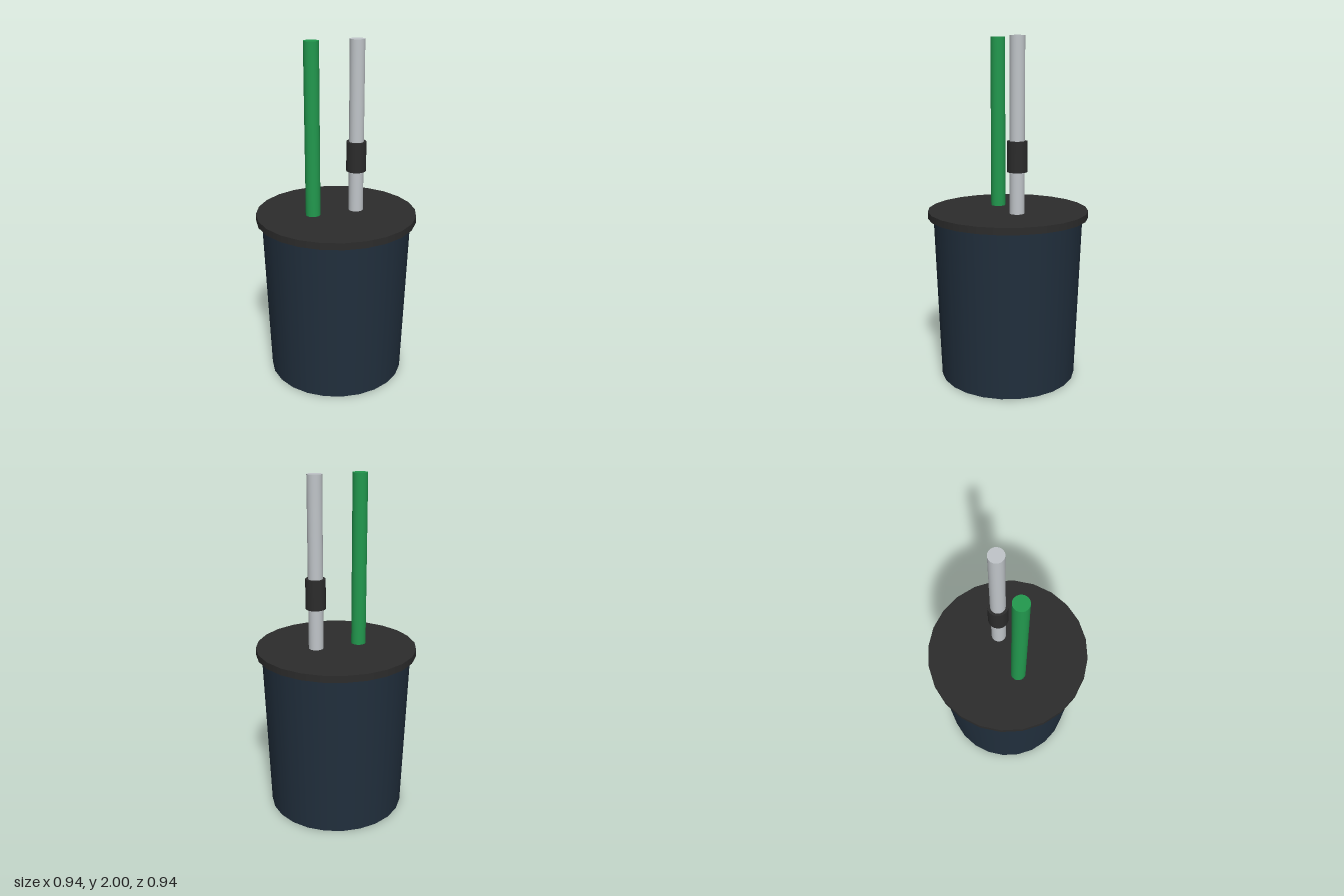
import * as THREE from 'three';

const paint = (name, color) => {
  const m = new THREE.MeshStandardMaterial({ color });
  m.name = name;
  return m;
};

export function createModel() {
  const model = new THREE.Group();
  model.name = 'lidded bucket with pipes';
  const navy = paint('navy', 0x212f3d);
  const black = paint('black', 0x2c2c2c);
  const green = paint('green', 0x22994e);
  const grey = paint('light grey', 0xc0c5c9);

  // Upright capped cylinder from y0 to y1
  const post = (name, material, x, y0, y1, bottom, top = bottom, sides = 24) => {
    const mesh = new THREE.Mesh(new THREE.CylinderGeometry(top, bottom, y1 - y0, sides), material);
    mesh.name = name;
    mesh.position.set(x, (y0 + y1) / 2, 0);
    model.add(mesh);
  };

  // Tapered bucket and its overhanging lid
  post('bucket', navy, 0, 0, 0.97, 0.404, 0.437);
  post('lid', black, 0, 0.97, 1.01, 0.47);

  // Two pipes rising from the lid, one with a collar
  post('greenPipe', green, -0.142, 1.0, 2, 0.043);
  post('greyPipe', grey, 0.124, 1.0, 2, 0.043);
  post('pipeCollar', black, 0.124, 1.25, 1.425, 0.058);

  return model;
}
